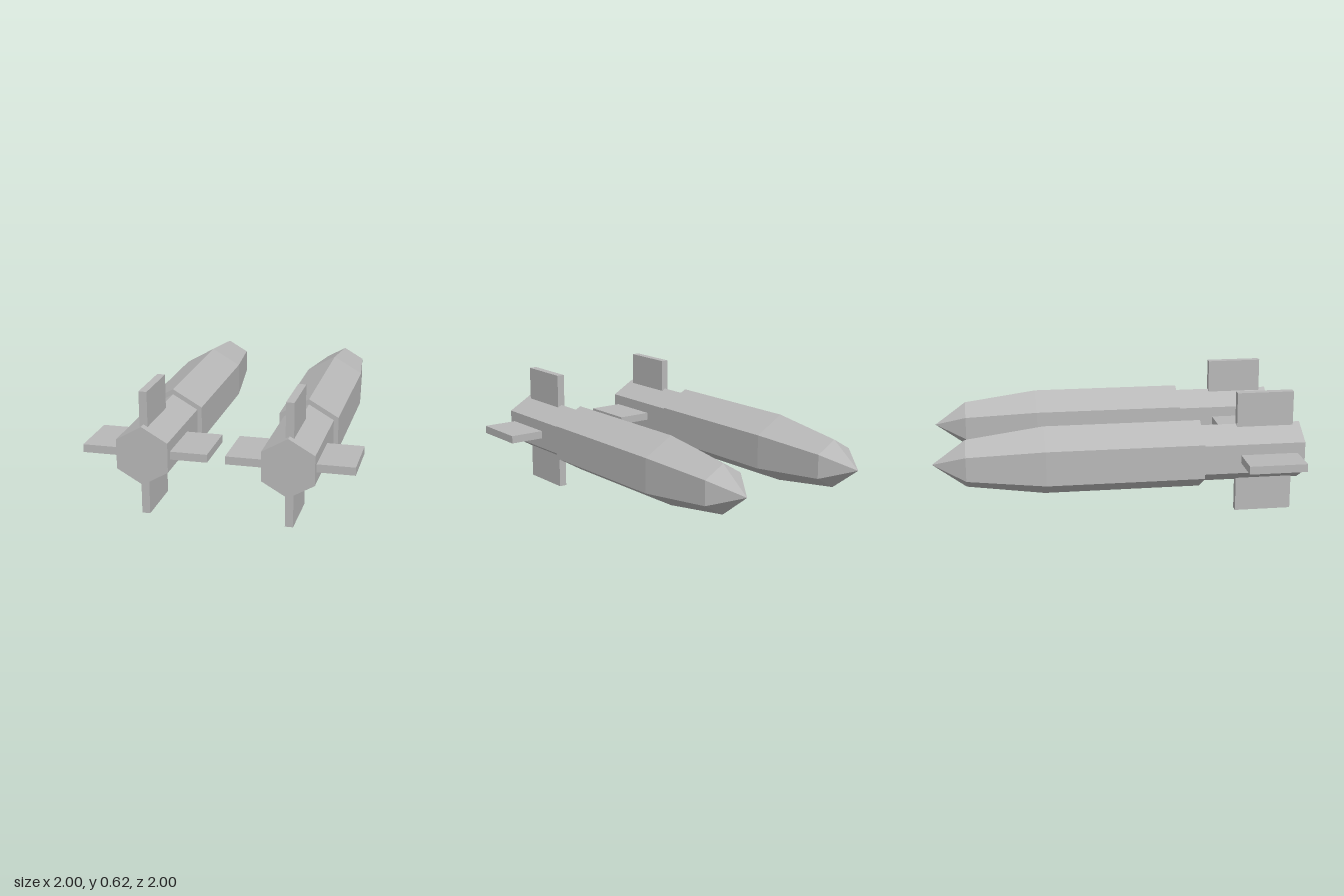
import * as THREE from 'three';

const grey = new THREE.MeshStandardMaterial({ color: 0xb8b8b8, flatShading: true });
grey.name = 'light grey';

// Six-sided section lying along +x with ridges at top and bottom; profile is [radius, x]
function hexSection(name, profile) {
  const points = profile.map(([r, x]) => new THREE.Vector2(r, x));
  let geometry = new THREE.LatheGeometry(points, 6, Math.PI / 2).rotateZ(-Math.PI / 2);
  geometry = geometry.toNonIndexed();
  geometry.computeVertexNormals();
  const mesh = new THREE.Mesh(geometry, grey);
  mesh.name = name;
  return mesh;
}

// Flat plate running right through the tail, making a pair of fins
function finPair(name, height, width) {
  const mesh = new THREE.Mesh(new THREE.BoxGeometry(0.288, height, width), grey);
  mesh.name = name;
  mesh.position.x = -0.606;
  return mesh;
}

function missile(name) {
  const group = new THREE.Group();
  group.name = name;
  group.add(
    hexSection('tailSection', [[0, -0.788], [0.147, -0.788], [0.147, -0.25]]),
    hexSection('bodySection', [[0, -0.275], [0.174, -0.275], [0.174, 0.215]]),
    hexSection('noseSection', [[0.174, 0.215], [0.174, 0.51], [0.121, 0.895], [0, 1.06]]),
    finPair('verticalFins', 0.62, 0.04),
    finPair('horizontalFins', 0.04, 0.62)
  );
  return group;
}

export function createModel() {
  const model = new THREE.Group();
  model.name = 'missilePair';

  // Two parallel missiles, turned diagonally
  const pair = new THREE.Group();
  pair.name = 'diagonalPair';
  for (const [name, side] of [['rearMissile', -1], ['frontMissile', 1]]) {
    const m = missile(name);
    m.position.set(0, 0.31, side * 0.354);
    pair.add(m);
  }
  pair.rotation.y = Math.PI / 4;
  model.add(pair);
  return model;
}
